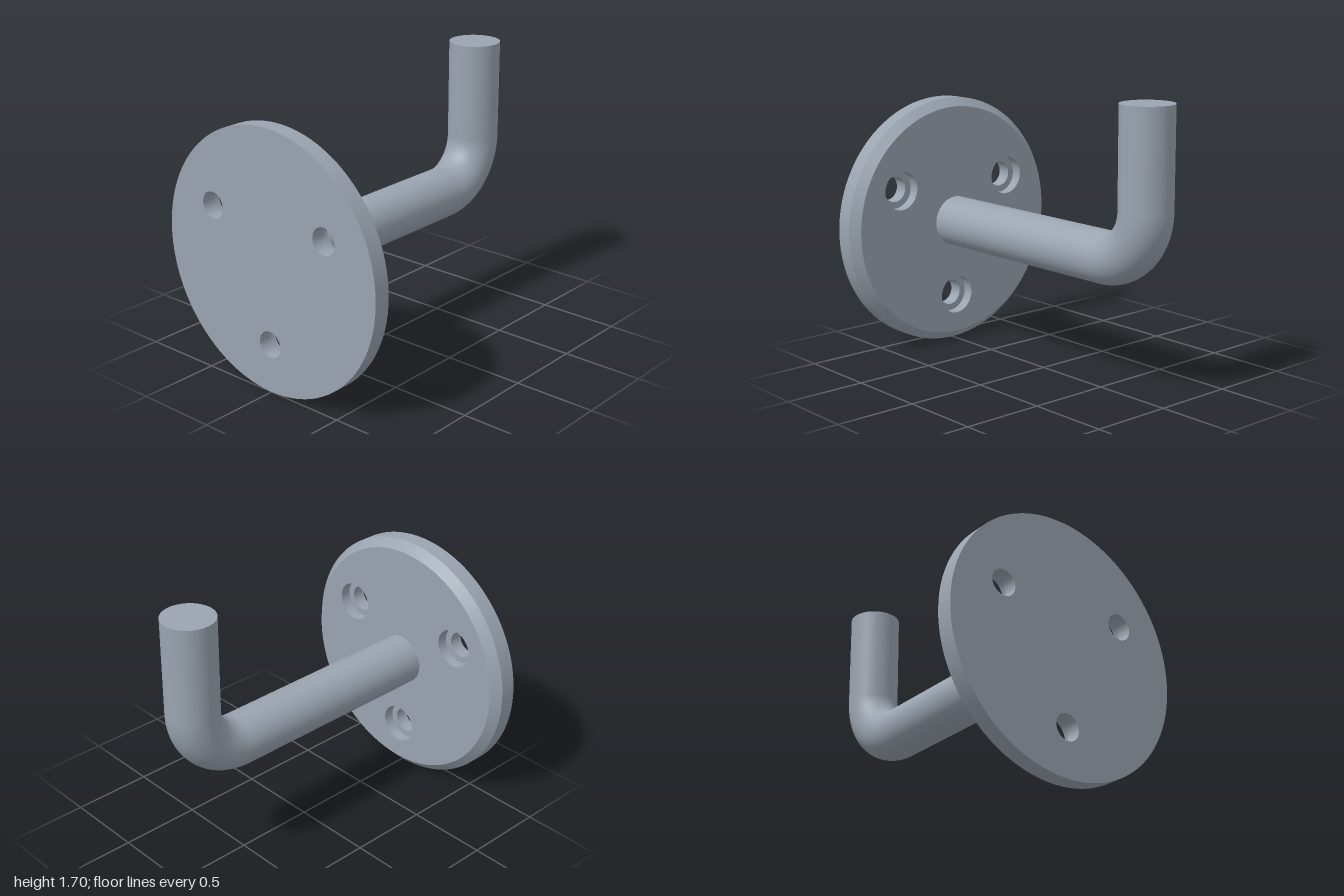
import * as THREE from 'three';

const PLATE_R = 0.787, CENTER_Y = 0.787, FRONT = 1, BACK = 0.843, CHAMFER = 0.053;
const HOLE_R = 0.08, BORE_R = 0.122, BORE_DEPTH = 0.07, HOLE_RING = 0.49;
const ROD_R = 0.157, BEND_R = 0.315, POST_Z = -0.843, POST_TOP = 1.7;
const SEG = 96;

export function createModel() {
  const steel = new THREE.MeshStandardMaterial({ color: 0x9aa4b0 });
  steel.name = 'brushed steel';

  const add = (parent, name, geometry, x = 0, y = 0, z = 0) => {
    const mesh = new THREE.Mesh(geometry, steel);
    mesh.name = name;
    mesh.position.set(x, y, z);
    parent.add(mesh);
    return mesh;
  };

  // One sharp-edged band per pair of [radius, z] points, turned about the z axis
  const addBands = (parent, name, profile, x = 0, y = 0) => {
    for (let i = 0; i < profile.length - 1; i++) {
      const points = [profile[i], profile[i + 1]].map(([r, z]) => new THREE.Vector2(r, z));
      add(parent, name, new THREE.LatheGeometry(points, SEG).rotateX(Math.PI / 2), x, y);
    }
  };

  const holes = [30, 150, 270].map((deg) => {
    const a = THREE.MathUtils.degToRad(deg);
    return [HOLE_RING * Math.cos(a), HOLE_RING * Math.sin(a)];
  });

  // Flat disc pierced by the three screw holes
  const disc = (radius, holeRadius) => {
    const shape = new THREE.Shape().absarc(0, 0, radius, 0, Math.PI * 2, false);
    for (const [x, y] of holes) {
      shape.holes.push(new THREE.Path().absarc(x, y, holeRadius, 0, Math.PI * 2, true));
    }
    return new THREE.ShapeGeometry(shape, SEG);
  };

  const model = new THREE.Group();
  model.name = 'wallHook';

  // Wall plate with a chamfered back edge
  const plate = new THREE.Group();
  plate.name = 'wallPlate';
  plate.position.y = CENTER_Y;
  model.add(plate);
  add(plate, 'plateFront', disc(PLATE_R, HOLE_R), 0, 0, FRONT);
  add(plate, 'plateBack', disc(PLATE_R - CHAMFER, BORE_R).rotateY(Math.PI), 0, 0, BACK);
  addBands(plate, 'plateRim', [
    [PLATE_R - CHAMFER, BACK], [PLATE_R, BACK + CHAMFER], [PLATE_R, FRONT],
  ]);

  // Counterbored screw holes
  const floor = BACK + BORE_DEPTH;
  for (const [x, y] of holes) {
    addBands(plate, 'screwHole', [
      [HOLE_R, FRONT], [HOLE_R, floor], [BORE_R, floor], [BORE_R, BACK],
    ], x, y);
  }

  // Bent round rod: arm, quarter bend, upright post
  const rod = new THREE.Group();
  rod.name = 'rod';
  model.add(rod);
  const bendZ = POST_Z + BEND_R, bendY = CENTER_Y + BEND_R;
  const armLength = BACK - bendZ, postLength = POST_TOP - bendY;
  add(rod, 'arm',
    new THREE.CylinderGeometry(ROD_R, ROD_R, armLength, 64, 1, true).rotateX(Math.PI / 2),
    0, CENTER_Y, bendZ + armLength / 2);
  add(rod, 'bend',
    new THREE.TorusGeometry(BEND_R, ROD_R, 64, 32, Math.PI / 2)
      .rotateZ(-Math.PI / 2).rotateY(Math.PI / 2),
    0, bendY, bendZ);
  add(rod, 'post',
    new THREE.CylinderGeometry(ROD_R, ROD_R, postLength, 64, 1, true),
    0, bendY + postLength / 2, POST_Z);
  add(rod, 'postCap', new THREE.CircleGeometry(ROD_R, 64).rotateX(-Math.PI / 2),
    0, POST_TOP, POST_Z);

  return model;
}
